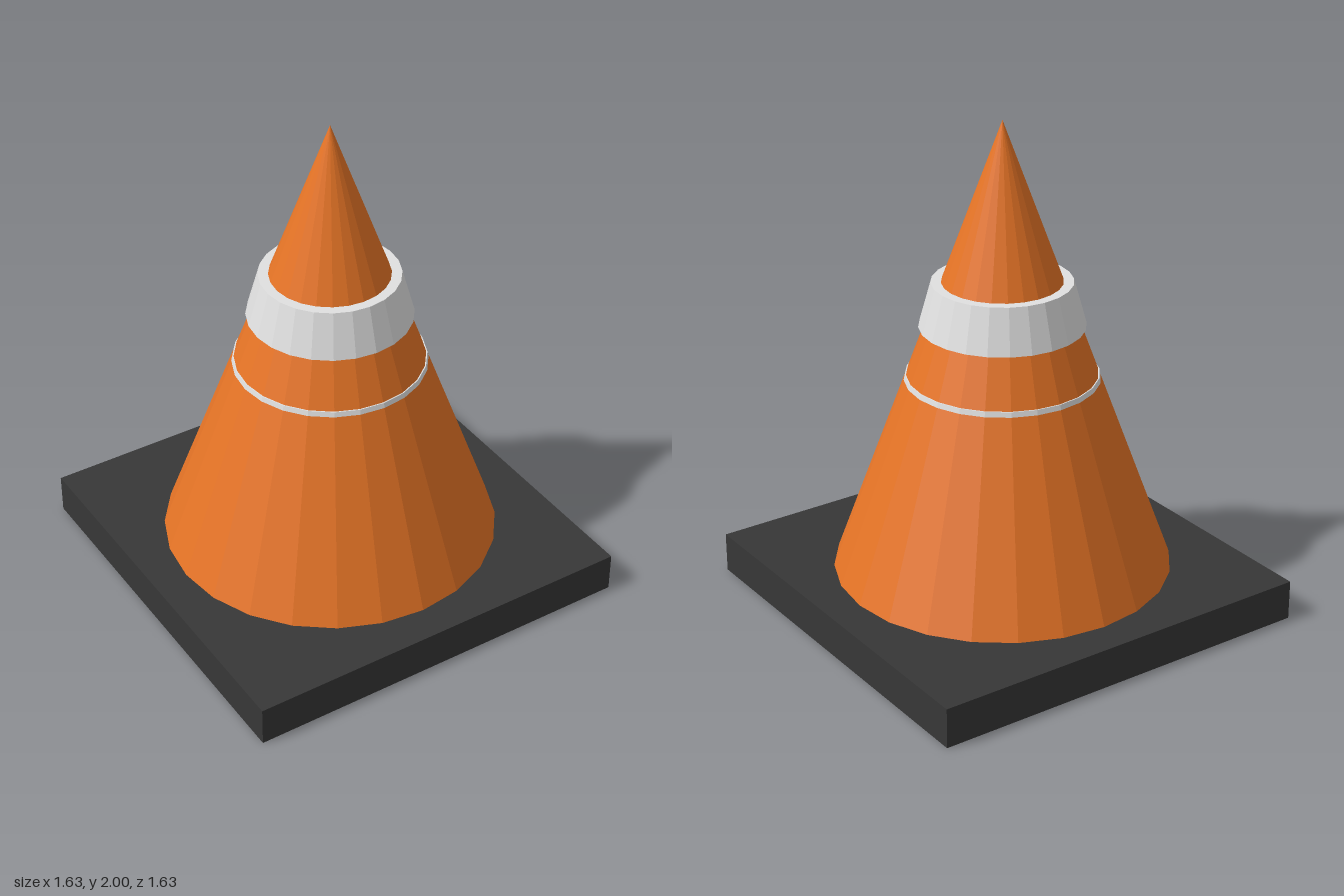
import * as THREE from 'three';

export function createModel() {
  const model = new THREE.Group();
  model.name = 'trafficCone';

  const paint = (name, color) => {
    const m = new THREE.MeshStandardMaterial({ color, flatShading: true });
    m.name = name;
    return m;
  };
  const orange = paint('orange plastic', 0xe67426);
  const white = paint('reflective white', 0xe0e0e0);
  const dark = paint('dark rubber', 0x373737);

  const add = (name, geometry, material, y) => {
    const mesh = new THREE.Mesh(geometry, material);
    mesh.name = name;
    mesh.position.y = y;
    model.add(mesh);
  };

  // Frustum with 24 sides standing between two heights
  const SIDES = 24;
  const frustum = (name, rTop, rBottom, y0, y1, material) =>
    add(name, new THREE.CylinderGeometry(rTop, rBottom, y1 - y0, SIDES), material, (y0 + y1) / 2);

  // Square foot
  const BASE = 0.163;
  add('base', new THREE.BoxGeometry(1.63, BASE, 1.63), dark, BASE / 2);

  // Pointed body
  add('coneBody', new THREE.ConeGeometry(0.675, 2 - BASE, SIDES), orange, (2 + BASE) / 2);

  // Wide collar and thin stripe
  frustum('upperCollar', 0.275, 0.325, 1.18, 1.36, white);
  frustum('lowerStripe', 0.379, 0.384, 0.961, 0.981, white);

  return model;
}
